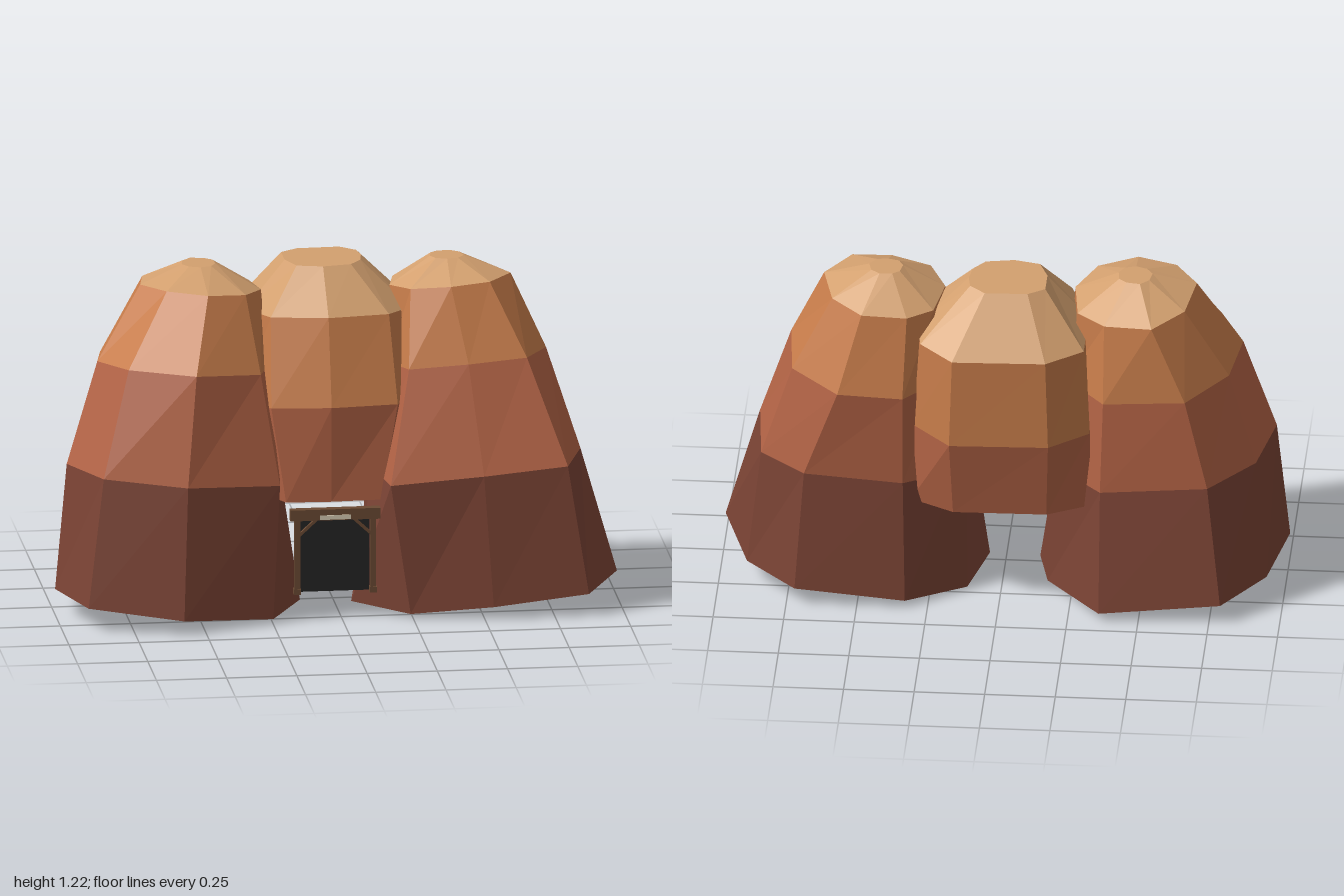
import * as THREE from 'three';

const BASE = 0x7c4435, CLAY = 0xb46446, ORANGE = 0xc87d4b, TAN = 0xd3a06f;
const WOOD = 0x6b4a33, DARK = 0x242424, PALE = 0xd8ccb4;

function mesh(name, geometry, color) {
  const m = new THREE.Mesh(geometry, new THREE.MeshStandardMaterial({ color, flatShading: true }));
  m.name = name;
  return m;
}

// Flat-shaded geometry from a list of triangles, each made of three points
function fromTriangles(triangles) {
  const g = new THREE.BufferGeometry();
  g.setAttribute('position', new THREE.Float32BufferAttribute(triangles.flat(2), 3));
  g.computeVertexNormals();
  return g;
}

const centre = ring => [0, 1, 2].map(k => ring.reduce((s, p) => s + p[k], 0) / ring.length);

// Fan closing a ring, facing up or down
function lid(ring, up) {
  const c = centre(ring);
  return ring.map((p, i) => {
    const q = ring[(i + 1) % ring.length];
    return up ? [p, q, c] : [q, p, c];
  });
}

// Strip joining two rings
function band(low, high) {
  return low.flatMap((p, i) => {
    const j = (i + 1) % low.length;
    return [[p, low[j], high[j]], [p, high[j], high[i]]];
  });
}

// Raise a plan of [x, z] corners to a tilted height
const lift = (plan, y, slopeX, slopeZ) =>
  plan.map(([x, z]) => [x, y + slopeX * Math.abs(x) + slopeZ * z, z]);

// Small flat summit inside the shoulder ring
function summit(shoulder, x, z, y, scale) {
  const c = centre(shoulder);
  return shoulder.map(p => [x + (p[0] - c[0]) * scale, y, z + (p[2] - c[2]) * scale]);
}

// Rock tower: one coloured stratum between each pair of rings
function tower(name, rings, colors) {
  const group = new THREE.Group();
  group.name = name;
  colors.forEach((color, i) => {
    const tris = band(rings[i], rings[i + 1]);
    if (i === 0) tris.push(...lid(rings[0], false));
    if (i === colors.length - 1) tris.push(...lid(rings[i + 1], true));
    group.add(mesh(`${name}Stratum${i + 1}`, fromTriangles(tris), color));
  });
  return group;
}

// Side tower: foot, waist, chest and shoulder plans, tilted outward
function sideTower(name, [foot, waist, chest, shoulder], topX) {
  const rings = [
    lift(foot, -0.007, 0.1, 0),
    lift(waist, 0.463, 0.08, 0.04),
    lift(chest, 0.84, 0.07, 0.11),
    lift(shoulder, 1.113, 0.075, 0.09),
  ];
  rings.push(summit(rings[3], topX, -0.1, 1.217, 0.28));
  return tower(name, rings, [BASE, CLAY, ORANGE, TAN]);
}

function box(name, color, w, h, d, x, y, z, turn = 0) {
  const m = mesh(name, new THREE.BoxGeometry(w, h, d), color);
  m.position.set(x, y, z);
  m.rotation.z = turn;
  return m;
}

// Timber mine entrance between the towers
function entrance() {
  const g = new THREE.Group();
  g.name = 'entrance';
  const mid = -0.025;
  g.add(box('darkOpening', DARK, 0.25, 0.28, 0.04, mid, 0.235, 0.23));
  g.add(box('lintel', WOOD, 0.32, 0.022, 0.03, mid, 0.376, 0.275));
  g.add(box('topBeam', WOOD, 0.32, 0.018, 0.03, mid, 0.396, 0.275));
  g.add(box('blankSign', PALE, 0.11, 0.016, 0.004, mid, 0.376, 0.291));
  for (const s of [-1, 1]) {
    g.add(box('post', WOOD, 0.02, 0.27, 0.022, mid + s * 0.135, 0.235, 0.275));
    g.add(box('postFoot', WOOD, 0.026, 0.02, 0.028, mid + s * 0.135, 0.105, 0.275));
    g.add(box('brace', WOOD, 0.09, 0.01, 0.012, mid + s * 0.1, 0.335, 0.275, -s * 0.75));
  }
  return g;
}

export function createModel() {
  const model = new THREE.Group();
  model.name = 'rockTowersWithEntrance';

  // Corners [x, z] of each ring run outer, front, inner, back
  model.add(sideTower('rightTower', [
    [[-1, 0.1], [-0.91, 0.34], [-0.58, 0.43], [-0.25, 0.32], [-0.12, 0.03],
      [-0.16, -0.16], [-0.36, -0.43], [-0.79, -0.42], [-0.94, -0.22]],
    [[-0.955, 0.07], [-0.85, 0.29], [-0.56, 0.375], [-0.22, 0.27], [-0.19, 0.02],
      [-0.19, -0.17], [-0.36, -0.36], [-0.74, -0.36], [-0.9, -0.19]],
    [[-0.84, 0.02], [-0.75, 0.2], [-0.52, 0.295], [-0.28, 0.2], [-0.23, -0.01],
      [-0.23, -0.19], [-0.37, -0.35], [-0.66, -0.355], [-0.805, -0.19]],
    [[-0.68, -0.04], [-0.6, 0.08], [-0.46, 0.14], [-0.32, 0.09], [-0.25, -0.04],
      [-0.27, -0.21], [-0.37, -0.3], [-0.54, -0.33], [-0.65, -0.22]],
  ], -0.465));

  model.add(sideTower('leftTower', [
    [[1, 0.1], [0.87, 0.35], [0.53, 0.36], [0.24, 0.31], [0.06, 0.05],
      [0.12, -0.22], [0.33, -0.38], [0.72, -0.39], [0.9, -0.23]],
    [[0.875, 0.06], [0.8, 0.31], [0.5, 0.325], [0.17, 0.31], [0.14, 0.03],
      [0.15, -0.21], [0.34, -0.34], [0.69, -0.345], [0.85, -0.23]],
    [[0.76, 0], [0.67, 0.18], [0.46, 0.2], [0.25, 0.18], [0.2, -0.02],
      [0.21, -0.22], [0.34, -0.36], [0.57, -0.37], [0.74, -0.235]],
    [[0.64, -0.05], [0.55, 0.08], [0.41, 0.1], [0.27, 0.06], [0.21, -0.06],
      [0.24, -0.22], [0.33, -0.29], [0.49, -0.3], [0.6, -0.21]],
  ].map(plan => plan.reverse()), 0.415));

  // Middle tower hangs above the entrance
  const rings = [
    lift([[-0.03, 0.21], [0.15, 0.2], [0.28, 0], [0.33, -0.13], [0.315, -0.285],
      [0.16, -0.365], [-0.17, -0.36], [-0.325, -0.285], [-0.31, -0.1], [-0.19, 0.2]], 0.4, 0, 0.05),
    lift([[-0.03, 0.22], [0.21, 0.18], [0.3, 0], [0.33, -0.17], [0.31, -0.3],
      [0.17, -0.425], [-0.18, -0.415], [-0.32, -0.32], [-0.32, -0.08], [-0.24, 0.18]], 0.73, 0, 0.12),
    lift([[-0.03, 0.13], [0.19, 0.09], [0.28, -0.03], [0.3, -0.18], [0.28, -0.31],
      [0.16, -0.42], [-0.17, -0.41], [-0.3, -0.32], [-0.3, -0.1], [-0.23, 0.08]], 1.05, 0, 0.09),
  ];
  rings.push(summit(rings[2], -0.01, -0.14, 1.212, 0.46));
  model.add(tower('middleTower', rings, [CLAY, ORANGE, TAN]));

  model.add(entrance());
  return model;
}
